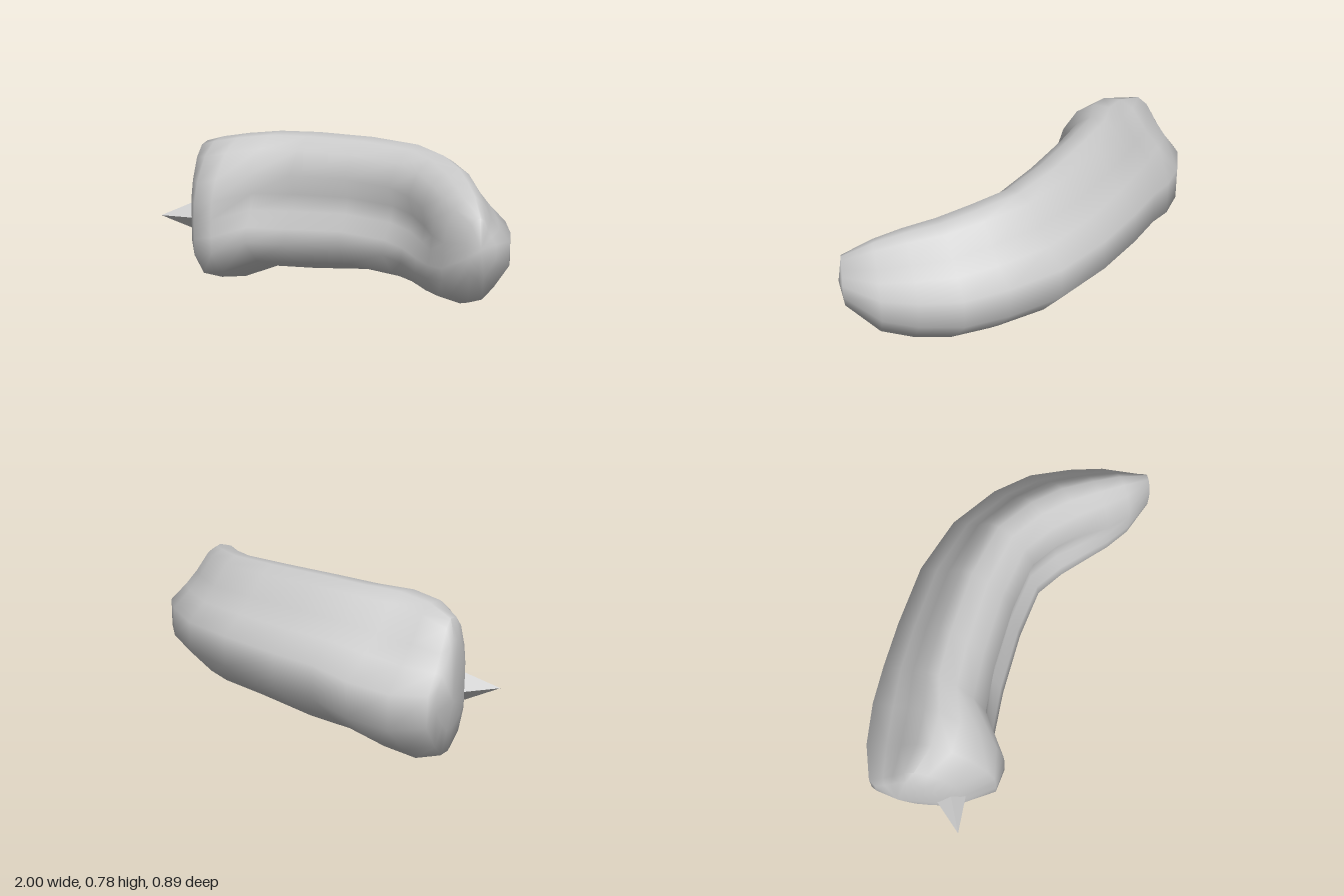
import * as THREE from 'three';
import { toCreasedNormals } from 'three/addons/utils/BufferGeometryUtils.js';

// Cross-section outline: [u from outer to inner side, v from bottom to top, hollow amount]
const SECTION = [
  [0, 0.33, 0], [0, 0.56, 0], [0.17, 0.69, 0], [0.29, 0.8, 0], [0.42, 0.95, 0], [0.53, 1, 0], [0.68, 0.98, 0],
  [0.82, 0.89, 0], [0.94, 0.72, 0.02], [0.99, 0.58, 0.12], [1, 0.46, 0.1], [1, 0.34, 0.02], [1, 0.23, 0],
  [0.87, 0.08, 0], [0.6, 0, 0], [0.4, 0.02, 0], [0.23, 0.13, 0],
];

// Stations along the bend: outer x, outer z, inner x, inner z, bottom, top, hollow
const STATIONS = [
  [-0.96, -0.23, -0.9, 0.06, 0.2, 0.62, 0],
  [-0.94, -0.27, -0.84, 0.15, 0.06, 0.7, 0],
  [-0.79, -0.35, -0.72, 0.275, 0.0, 0.735, 0],
  [-0.6, -0.4, -0.61, 0.275, 0.02, 0.76, 0],
  [-0.42, -0.42, -0.48, 0.17, 0.08, 0.775, 0.7],
  [-0.2, -0.44, -0.27, 0.13, 0.09, 0.78, 1],
  [0.1, -0.45, 0.03, 0.1, 0.12, 0.775, 1],
  [0.39, -0.4, 0.28, 0.1, 0.11, 0.76, 1],
  [0.63, -0.28, 0.42, 0.17, 0.11, 0.735, 1],
  [0.79, -0.15, 0.54, 0.25, 0.105, 0.7, 0.8],
  [0.9, 0.02, 0.65, 0.33, 0.12, 0.665, 0.4],
  [0.97, 0.17, 0.76, 0.395, 0.16, 0.625, 0.1],
  [1.0, 0.36, 0.9, 0.445, 0.3, 0.56, 0],
];

// Skin the stations into a closed bent body
function bodyGeometry() {
  const pos = [], index = [], n = SECTION.length;
  for (const [ox, oz, ix, iz, bottom, top, hollow] of STATIONS) {
    for (const [u, v, h] of SECTION) {
      const w = u - h * hollow;
      pos.push(ox + (ix - ox) * w, bottom + (top - bottom) * v, oz + (iz - oz) * w);
    }
  }
  for (let s = 0; s < STATIONS.length - 1; s++) {
    for (let i = 0; i < n; i++) {
      const a = s * n + i, b = s * n + (i + 1) % n;
      index.push(a, b, a + n, b, b + n, a + n);
    }
  }
  // End caps fan out from a centre point
  const first = pos.length / 3, last = (STATIONS.length - 1) * n;
  pos.push(-0.965, 0.36, -0.12, 0.96, 0.43, 0.42);
  for (let i = 0; i < n; i++) {
    const j = (i + 1) % n;
    index.push(first, j, i, first + 1, last + i, last + j);
  }
  const g = new THREE.BufferGeometry();
  g.setAttribute('position', new THREE.Float32BufferAttribute(pos, 3));
  g.setIndex(index);
  return toCreasedNormals(g, 1.1);
}

export function createModel() {
  const group = new THREE.Group();
  group.name = 'bentBody';
  const grey = new THREE.MeshStandardMaterial({ color: 0xcccccc });

  const body = new THREE.Mesh(bodyGeometry(), grey);
  body.name = 'body';
  group.add(body);

  // Small four-sided spike on the blunt end
  const tip = new THREE.Vector3(-1, 0.33, 0.2), base = new THREE.Vector3(-0.85, 0.33, 0.1);
  const cone = new THREE.ConeGeometry(0.075, tip.distanceTo(base), 4).rotateX(Math.PI / 2);
  const spike = new THREE.Mesh(toCreasedNormals(cone, 0.5), grey);
  spike.name = 'spike';
  spike.position.lerpVectors(base, tip, 0.5);
  spike.lookAt(tip);
  group.add(spike);

  return group;
}
